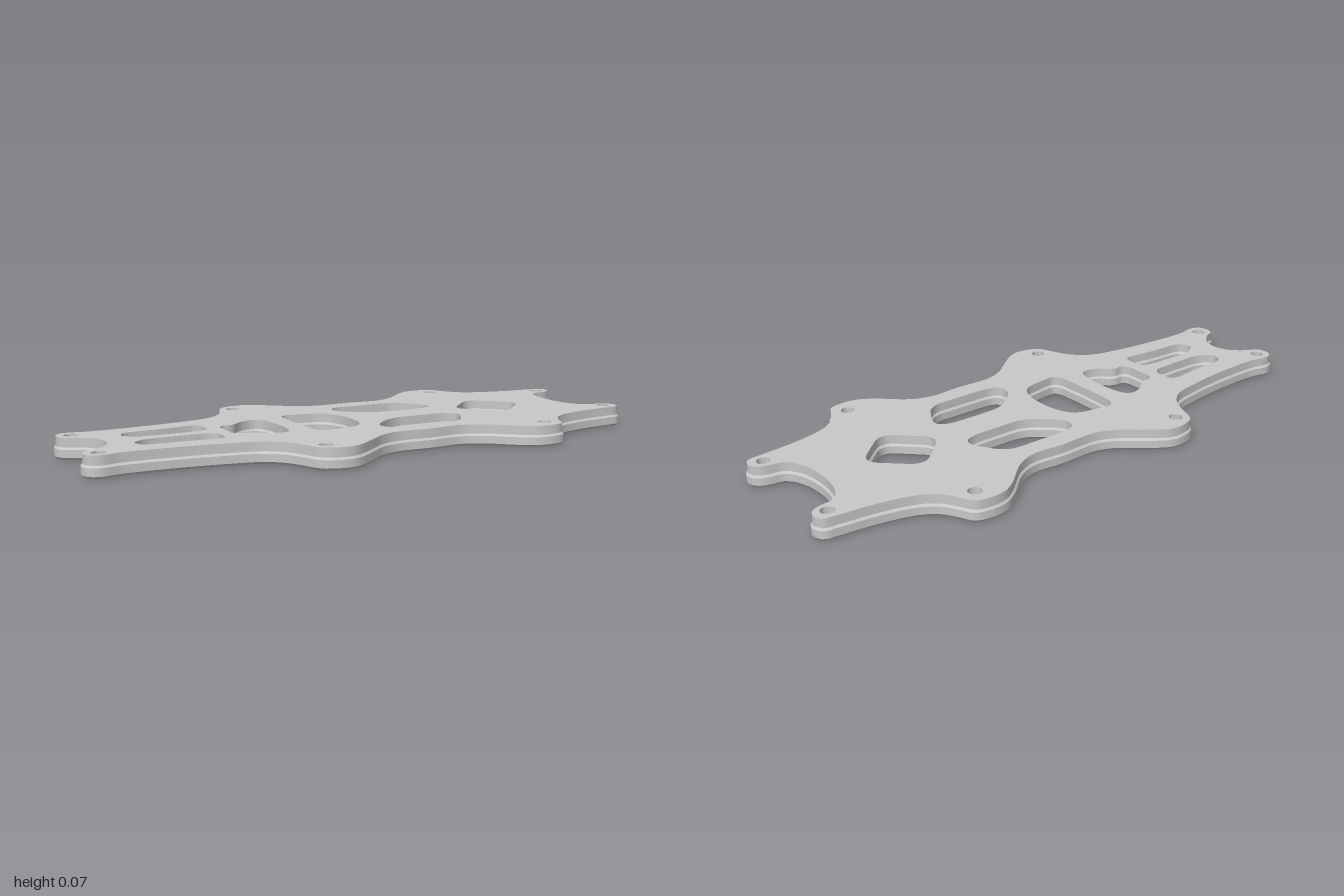
import * as THREE from 'three';
import { toCreasedNormals } from 'three/addons/utils/BufferGeometryUtils.js';

// Half outline (z >= 0), starting and ending on the centre line
const OUTLINE = [
  [-0.883, 0], [-0.9, 0.055], [-0.945, 0.096], [-0.985, 0.115], [-1, 0.155], [-0.987, 0.192], [-0.953, 0.206],
  [-0.88, 0.194], [-0.72, 0.198], [-0.556, 0.217], [-0.445, 0.244], [-0.39, 0.292], [-0.36, 0.353],
  [-0.34, 0.401], [-0.315, 0.426], [-0.246, 0.441], [-0.203, 0.43], [-0.128, 0.376], [-0.064, 0.326],
  [0, 0.301], [0.139, 0.302], [0.255, 0.296], [0.326, 0.324], [0.417, 0.403], [0.47, 0.435],
  [0.53, 0.441], [0.584, 0.426], [0.606, 0.385], [0.642, 0.329], [0.695, 0.294], [0.81, 0.265],
  [0.941, 0.25], [0.982, 0.244], [1, 0.209], [0.985, 0.174], [0.952, 0.158], [0.904, 0.15],
  [0.877, 0.118], [0.86, 0.064], [0.855, 0],
];
// Corners of the windows on the centre line (half) and at the sides (whole)
const CENTRE_HOLES = [
  [[-0.47, 0], [-0.468, 0.073], [-0.415, 0.066], [-0.37, 0.115], [-0.304, 0.127], [-0.288, 0.05], [-0.288, 0]],
  [[-0.211, 0], [-0.206, 0.155], [-0.15, 0.152], [-0.045, 0.132], [-0.018, 0.05], [-0.018, 0]],
  [[0.426, 0], [0.561, 0.13], [0.7, 0]],
];
const SIDE_HOLES = [
  [[-0.8, 0.075], [-0.785, 0.107], [-0.65, 0.11], [-0.54, 0.126], [-0.524, 0.108], [-0.524, 0.03],
    [-0.755, 0.027], [-0.8, 0.06]],
  [[0.015, 0.155], [0.028, 0.216], [0.302, 0.216], [0.372, 0.098], [0.335, 0.066], [0.12, 0.066]],
];
const SCREWS = [[-0.946, 0.155], [-0.295, 0.372], [0.543, 0.372], [0.944, 0.202]];
const STRAP_SLOTS = [[0.815, 0.172], [0.657, 0.172]];
const H_CORNERS = [[0.045, 0.022], [0.025, 0.022], [0.025, 0.01]];

const flip = (pts) => pts.map(([x, z]) => [x, -z]);
const mirrored = (half) => [...half, ...flip(half.slice(1, -1)).reverse()];

// Smooth counter-clockwise outline through the points
function outlinePoints() {
  const pts = mirrored(OUTLINE).reverse().map(([x, z]) => new THREE.Vector3(x, z, 0));
  const curve = new THREE.CatmullRomCurve3(pts, true, 'centripetal');
  return curve.getSpacedPoints(280).slice(0, -1).map((p) => new THREE.Vector2(p.x, p.y));
}

// Closed polygon with softened corners
function roundedPath(corners, reach = 0.05) {
  const pts = corners.map(([x, z]) => new THREE.Vector2(x, z));
  const path = new THREE.Path();
  pts.forEach((p, i) => {
    const toward = (q) => p.clone().lerp(q, Math.min(reach / p.distanceTo(q), 0.48));
    const a = toward(pts.at(i - 1));
    const b = toward(pts[(i + 1) % pts.length]);
    if (i === 0) path.moveTo(a.x, a.y);
    else path.lineTo(a.x, a.y);
    path.quadraticCurveTo(p.x, p.y, b.x, b.y);
  });
  return path;
}

// H-shaped slot for a strap
function strapSlot(x, z) {
  const right = [...H_CORNERS, ...flip(H_CORNERS).reverse()];
  const left = right.map(([u, v]) => [-u, -v]);
  return new THREE.Path([...right.reverse(), ...left.reverse()].map(([u, v]) => new THREE.Vector2(x + u, z + v)));
}

function plateShape(screwRadius) {
  const shape = new THREE.Shape(outlinePoints());
  CENTRE_HOLES.forEach((h) => shape.holes.push(roundedPath(mirrored(h))));
  SIDE_HOLES.forEach((h) => shape.holes.push(roundedPath(h), roundedPath(flip(h))));
  SCREWS.forEach(([x, z]) => [z, -z].forEach((s) => {
    shape.holes.push(new THREE.Path().absarc(x, s, screwRadius, 0, Math.PI * 2, false));
  }));
  return shape;
}

// Plate lying flat between two heights, inset at its edges by the bevel
function plate(name, shape, y0, y1, bevelThickness, bevelSize, material) {
  const geometry = new THREE.ExtrudeGeometry(shape, {
    depth: y1 - y0 - 2 * bevelThickness, curveSegments: 10,
    bevelEnabled: true, bevelSegments: 1, bevelThickness, bevelSize, bevelOffset: -0.006,
  });
  geometry.translate(0, 0, bevelThickness);
  geometry.rotateX(-Math.PI / 2);
  geometry.translate(0, y0, 0);
  const mesh = new THREE.Mesh(toCreasedNormals(geometry, 0.65), material);
  mesh.name = name;
  return mesh;
}

export function createModel() {
  const grey = new THREE.MeshStandardMaterial({ color: 0xc8c8c8 });
  grey.name = 'plain grey';
  const group = new THREE.Group();
  group.name = 'framePlates';

  // Lower plate with chamfered edges and strap slots open underneath
  const lower = plateShape(0.022);
  STRAP_SLOTS.forEach(([x, z]) => lower.holes.push(strapSlot(x, z), strapSlot(x, -z)));
  group.add(plate('lowerPlate', lower, 0, 0.04, 0.007, 0.006, grey));

  // Upper plate, slightly smaller with straight edges
  group.add(plate('upperPlate', plateShape(0.017), 0.04, 0.071, 0.0005, 0, grey));
  return group;
}
